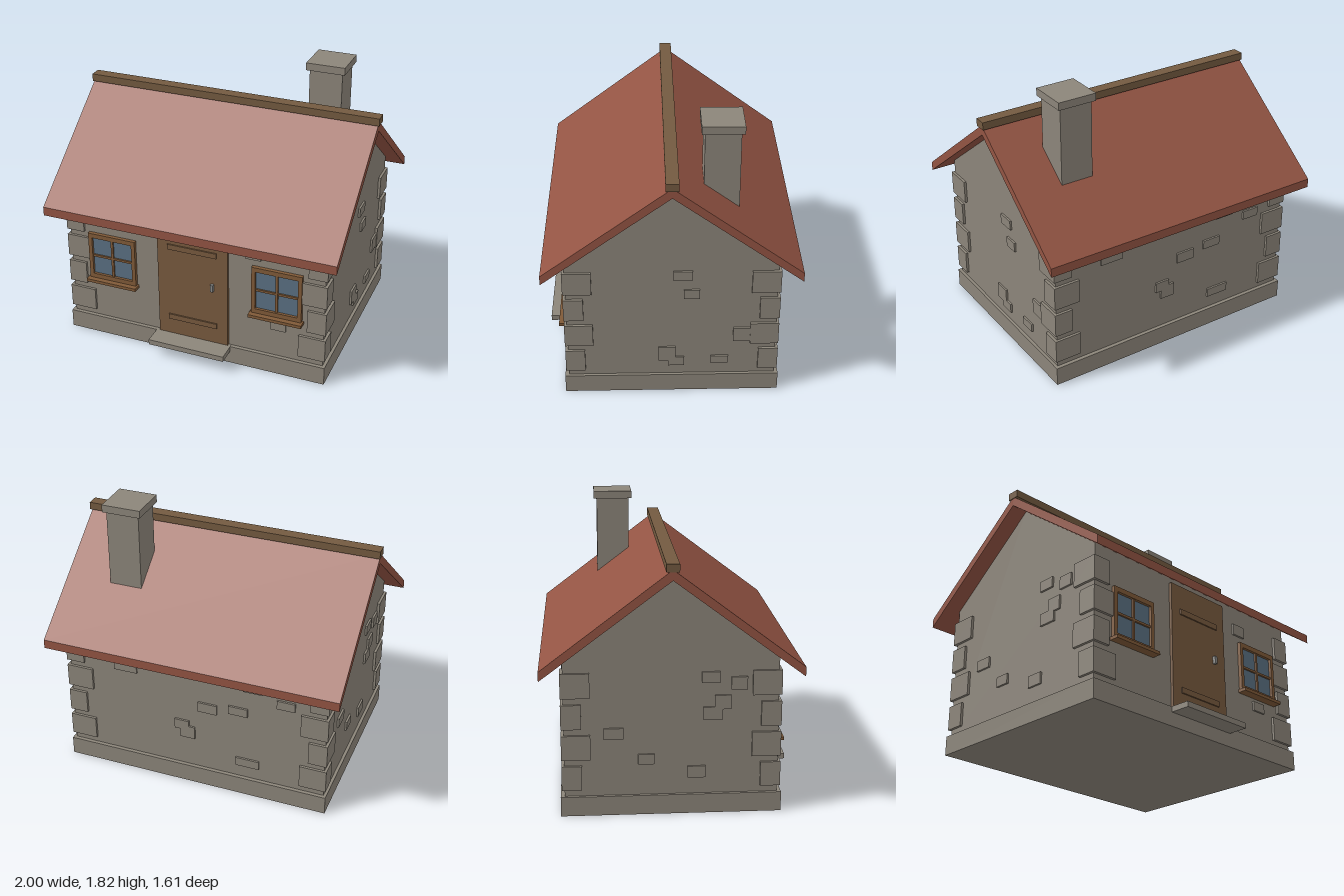
import * as THREE from 'three';

const mat = (name, color) => {
  const m = new THREE.MeshStandardMaterial({ color });
  m.name = name;
  return m;
};

export function createModel() {
  const stone = mat('stone', 0x8c857a);
  const tile = mat('roofTile', 0x935443);
  const wood = mat('doorWood', 0x785a3f);
  const beam = mat('ridgeWood', 0x735a40);
  const trim = mat('windowWood', 0x805a38);
  const glass = mat('glass', 0x5a7082);
  const metal = mat('handleMetal', 0x8a8a88);

  const house = new THREE.Group();
  house.name = 'cottage';
  const ZC = -0.005; // centre line of the building
  const WX = 0.885, WZ = 0.66; // half width and half depth of the walls

  // Box given by its limits on each axis
  const box = (name, material, [x0, x1], [y0, y1], [z0, z1], parent = house) => {
    const mesh = new THREE.Mesh(new THREE.BoxGeometry(x1 - x0, y1 - y0, z1 - z0), material);
    mesh.position.set((x0 + x1) / 2, (y0 + y1) / 2, (z0 + z1) / 2);
    mesh.name = name;
    parent.add(mesh);
    return mesh;
  };

  // Extrusion of a (z, y) outline along x
  const prism = (name, material, points, width) => {
    const shape = new THREE.Shape(points.map(([z, y]) => new THREE.Vector2(z, y)));
    const geo = new THREE.ExtrudeGeometry(shape, { depth: width, bevelEnabled: false });
    geo.translate(0, 0, -width / 2).rotateY(-Math.PI / 2);
    const mesh = new THREE.Mesh(geo, material);
    mesh.position.z = ZC;
    mesh.name = name;
    house.add(mesh);
    return mesh;
  };

  const group = (name) => {
    const g = new THREE.Group();
    g.name = name;
    house.add(g);
    return g;
  };

  // Plinth, walls with gables, roof and ridge
  box('plinth', stone, [-0.905, 0.905], [0, 0.125], [ZC - 0.685, ZC + 0.685]);
  prism('walls', stone, [[-WZ, 0.1], [WZ, 0.1], [WZ, 1.015], [0, 1.512], [-WZ, 1.015]], WX * 2);
  const roof = prism('roof', tile,
    [[-0.8, 0.905], [0, 1.505], [0.8, 0.905], [0.8, 0.965], [0, 1.57], [-0.8, 0.965]], 1.985);
  roof.position.x = -0.003;
  box('ridgeBeam', beam, [-1, 1], [1.555, 1.605], [ZC - 0.04, ZC + 0.04]);

  // Chimney
  box('chimney', stone, [0.46, 0.68], [1.2, 1.77], [-0.425, -0.205]);
  box('chimneyCap', stone, [0.44, 0.7], [1.765, 1.815], [-0.445, -0.185]);

  // Corner stones, alternating long and short on each face
  const corners = group('cornerStones');
  for (const sx of [-1, 1]) for (const sz of [-1, 1]) for (let i = 0; i < 4; i++) {
    const lx = i % 2 ? 0.125 : 0.18, lz = i % 2 ? 0.18 : 0.125;
    const y = 0.168 + i * 0.198;
    const xs = [sx * 0.902, sx * (0.902 - lx)].sort((a, b) => a - b);
    const zs = [ZC + sz * 0.677, ZC + sz * (0.677 - lz)].sort((a, b) => a - b);
    box('cornerStone', stone, xs, [y, y + 0.157], zs, corners);
  }

  // Raised wall stones: [centre along wall, centre height, width, height]
  const T = 0.013;
  const stones = group('wallStones');
  const onZ = (side, list) => list.forEach(([u, v, w, h]) => {
    const z = ZC + side * WZ;
    box('wallStone', stone, [u - w / 2, u + w / 2], [v - h / 2, v + h / 2], [z - T, z + T], stones);
  });
  const onX = (side, list) => list.forEach(([u, v, w, h]) => {
    const x = side * WX;
    box('wallStone', stone, [x - T, x + T], [v - h / 2, v + h / 2], [u - w / 2, u + w / 2], stones);
  });
  onZ(1, [[0.408, 0.848, 0.105, 0.075], [0.582, 0.355, 0.105, 0.062]]);
  onX(1, [[-0.075, 0.892, 0.12, 0.065], [-0.13, 0.752, 0.1, 0.065], [-0.452, 0.435, 0.115, 0.1],
    [0.025, 0.288, 0.11, 0.105], [-0.033, 0.228, 0.105, 0.065], [-0.31, 0.238, 0.11, 0.055]]);
  onZ(-1, [[0.48, 0.8, 0.16, 0.07], [-0.09, 0.61, 0.13, 0.07], [-0.3, 0.64, 0.13, 0.06],
    [0.09, 0.44, 0.1, 0.07], [0.05, 0.39, 0.1, 0.09], [-0.365, 0.245, 0.16, 0.06],
    [-0.62, 0.76, 0.12, 0.06], [-0.4, 0.84, 0.13, 0.07]]);
  onX(-1, [[0.235, 0.88, 0.11, 0.07], [0.41, 0.84, 0.1, 0.08], [0.31, 0.72, 0.1, 0.09],
    [0.25, 0.65, 0.12, 0.08], [-0.36, 0.53, 0.12, 0.07], [-0.16, 0.36, 0.1, 0.065],
    [0.15, 0.27, 0.11, 0.075]]);

  // Door, straps, handle and step
  box('door', wood, [-0.245, 0.242], [0.125, 0.97], [0.64, 0.675]);
  for (const y of [0.24, 0.77])
    box('doorStrap', wood, [-0.172, 0.167], [y, y + 0.037], [0.67, 0.684]);
  box('doorHandle', metal, [0.128, 0.148], [0.525, 0.575], [0.67, 0.696]);
  box('doorStep', stone, [-0.266, 0.262], [0.09, 0.126], [0.66, 0.808]);

  // Windows: frame, glass, crossbars and sill
  for (const cx of [-0.576, 0.572]) {
    const win = group(cx < 0 ? 'rightWindow' : 'leftWindow');
    const bar = (name, x0, x1, y0, y1, z1) =>
      box(name, trim, [cx + x0, cx + x1], [y0, y1], [0.645, z1], win);
    box('glass', glass, [cx - 0.15, cx + 0.15], [0.45, 0.745], [0.655, 0.662], win);
    bar('frameSide', -0.168, -0.142, 0.43, 0.765, 0.68);
    bar('frameSide', 0.142, 0.168, 0.43, 0.765, 0.68);
    bar('frameTop', -0.142, 0.142, 0.733, 0.765, 0.68);
    bar('frameBottom', -0.142, 0.142, 0.43, 0.462, 0.68);
    bar('crossbarUpright', -0.008, 0.008, 0.462, 0.733, 0.674);
    bar('crossbarLevel', -0.142, 0.142, 0.59, 0.605, 0.673);
    bar('sill', -0.179, 0.179, 0.41, 0.431, 0.715);
  }
  return house;
}
